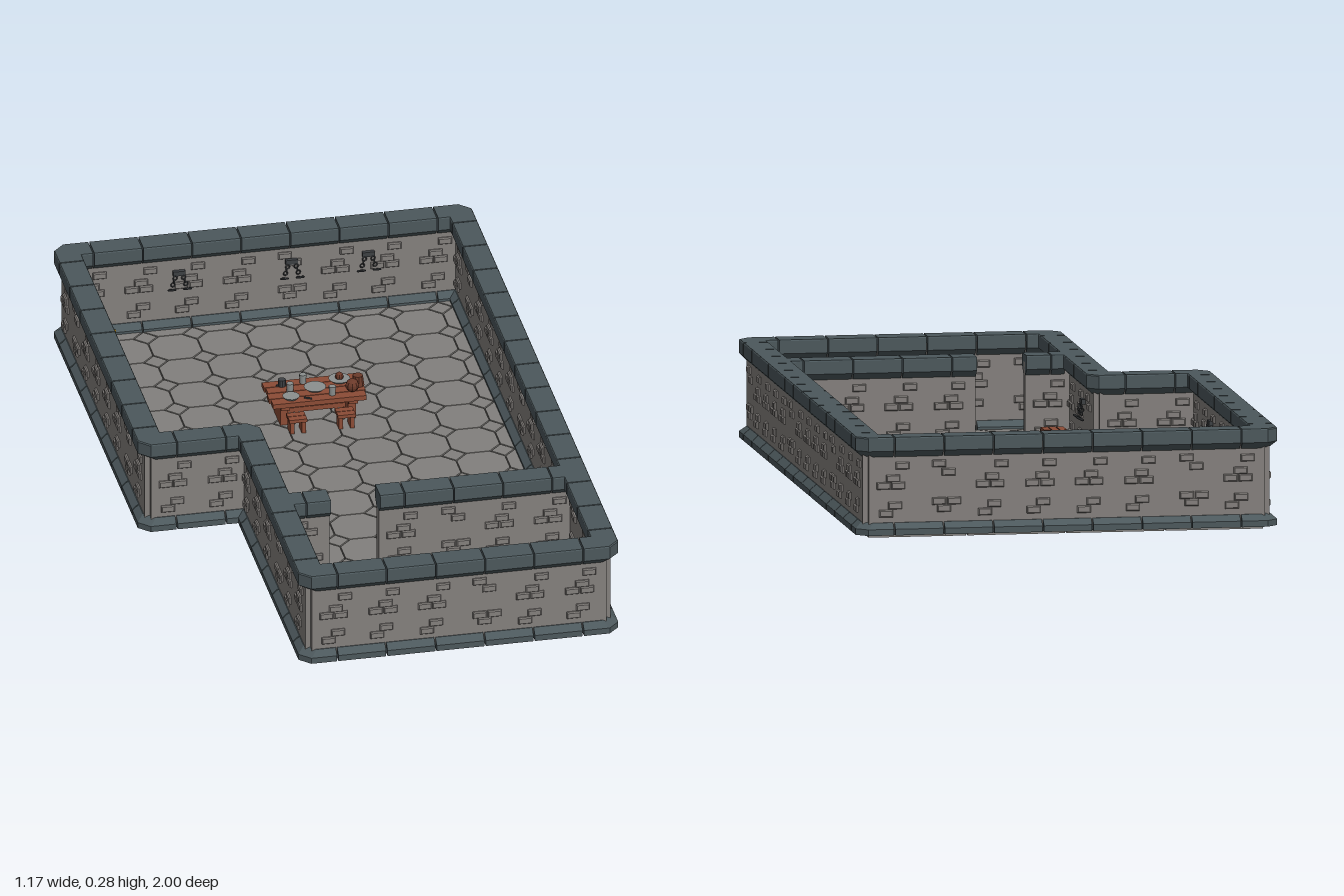
import * as THREE from 'three';
import { mergeGeometries } from 'three/addons/utils/BufferGeometryUtils.js';

const M = 0.1375, HALF = M / 2, X0 = -0.55, Z0 = -0.965, FLOOR = 0.02;
const mat = (name, color, flatShading = true) =>
  Object.assign(new THREE.MeshStandardMaterial({ color, flatShading }), { name });

// Closed solid through level outlines [y, [[x, z], ...]]
function loft(levels) {
  const rings = levels.map(([y, p]) => p.map(([x, z]) => [x, y, z]));
  const flat = levels[0][1].map(([x, z]) => new THREE.Vector2(x, z));
  if (THREE.ShapeUtils.area(flat) < 0) rings.forEach(r => r.reverse()), flat.reverse();
  const pos = [], n = flat.length, last = rings[rings.length - 1];
  const tri = (...v) => v.forEach(p => pos.push(...p));
  for (let k = 0; k + 1 < rings.length; k++) for (let i = 0; i < n; i++) {
    const j = (i + 1) % n, b = rings[k], t = rings[k + 1];
    tri(b[i], t[i], t[j]); tri(b[i], t[j], b[j]);
  }
  THREE.ShapeUtils.triangulateShape(flat, []).forEach(([a, b, c]) => {
    tri(rings[0][a], rings[0][b], rings[0][c]); tri(last[c], last[b], last[a]);
  });
  const g = new THREE.BufferGeometry();
  g.setAttribute('position', new THREE.Float32BufferAttribute(pos, 3));
  g.computeVertexNormals();
  return g;
}
const rect = (x0, x1, h) => [[x0, -h], [x1, -h], [x1, h], [x0, h]];
const plain = g => { const r = g.index ? g.toNonIndexed() : g; r.deleteAttribute('uv'); return r; };
const box = (w, h, d, x, y, z, ry = 0) => plain(new THREE.BoxGeometry(w, h, d).rotateY(ry).translate(x, y, z));
const cyl = (r1, r2, h, x, y, z, n = 10) => plain(new THREE.CylinderGeometry(r1, r2, h, n).translate(x, y, z));
const ball = (r, x, y, z) => plain(new THREE.SphereGeometry(r, 9, 7).translate(x, y, z));
// Round bar between two points
function bar(a, b, r = 0.005, n = 6) {
  const A = new THREE.Vector3(...a), d = new THREE.Vector3(...b).sub(A);
  const q = new THREE.Quaternion().setFromUnitVectors(new THREE.Vector3(0, 1, 0), d.clone().normalize());
  const c = A.addScaledVector(d, 0.5);
  return plain(new THREE.CylinderGeometry(r, r, d.length(), n).applyQuaternion(q).translate(c.x, c.y, c.z));
}
let seed = 7;
const rnd = () => (seed = (seed * 16807) % 2147483647) / 2147483647;

export function createModel() {
  const root = new THREE.Group();
  const stone = mat('wall stone', 0x84807d), trim = mat('slate trim', 0x4c585c), paving = mat('paving', 0x82807d);
  const grout = mat('grout', 0x575552), wood = mat('wood', 0x8c4c36), darkWood = mat('dark wood', 0x6b3a2a);
  const iron = mat('iron', 0x3d4043), pewter = mat('pewter', 0x8b908f, false);
  const gold = mat('gold', 0xc8981c), bone = mat('bone', 0x8a8073);
  const add = (name, parts, m) => {
    const mesh = new THREE.Mesh(mergeGeometries(parts.map(plain)), m);
    mesh.name = name; root.add(mesh);
  };

  // Floor: large slabs below, octagon and diamond paving above
  const slabs = [], bed = [], tiles = [];
  const inside = (i, j) => i >= 2 || j < 8;
  const g = 0.0015, c = 0.036, e = HALF - g;
  const quarter = [[0, 0], [e, 0], [e, HALF - c], [HALF - c, e], [0, e]];
  const d = c - 3 * g, diamond = [[d, 0], [0, d], [-d, 0], [0, -d]];
  for (let i = 0; i < 8; i++) for (let j = 0; j < 14; j++) {
    if (!inside(i, j)) continue;
    const x = X0 + (i + 0.5) * M, z = Z0 + (j + 0.5) * M;
    bed.push(box(M, 0.009, M, x, 0.0105, z));
    tiles.push(loft([[0.012, diamond], [FLOOR, diamond]]).translate(x, 0, z));
    for (const sx of [-1, 1]) for (const sz of [-1, 1]) {
      const p = quarter.map(([a, b]) => [sx * (HALF - a), sz * (HALF - b)]);
      tiles.push(loft([[0.012, p], [FLOOR, p]]).translate(x, 0, z));
    }
    if (i % 2 === 0 && j % 2 === 0)
      slabs.push(box(2 * M - 0.005, 0.008, 2 * M - 0.005, x + HALF, 0.004, z + HALF));
  }
  add('floorSlabs', slabs, paving); add('floorBed', bed, grout); add('floorTiles', tiles, paving);

  // Walls: stone body with raised bricks, slate blocks at foot and top
  const body = [], bricks = [], caps = [], bases = [];
  const bodyHalf = 0.015;
  const capLevels = [[0.225, 0.017], [0.243, 0.035], [0.278, 0.035], [0.281, 0.033]];
  const baseLevels = [[0.01, 0.035], [0.027, 0.035], [0.043, 0.017]];
  const brickSets = [
    [[0.02, 0.2], [0, 0.165], [-0.028, 0.145], [0.014, 0.145], [0.002, 0.092], [-0.024, 0.07]],
    [[0.024, 0.2], [-0.002, 0.165], [-0.028, 0.145], [0.012, 0.145], [0.004, 0.09], [-0.022, 0.068]],
    [[-0.012, 0.204], [0.015, 0.18], [-0.012, 0.1], [0.03, 0.1], [0.002, 0.08]]];
  const trimBlocks = (outline, place) => {
    caps.push(place(loft(capLevels.map(([y, h]) => [y, outline(h)]))));
    bases.push(place(loft(baseLevels.map(([y, h]) => [y, outline(h)]))));
  };
  const brickRing = s => rect(-0.019 * s, 0.019 * s, 0.01 * (s < 1 ? 0.72 : 1));
  const brick = () => loft([[0.012, brickRing(1)], [0.019, brickRing(1)], [0.0225, brickRing(0.86)]]).rotateX(Math.PI / 2);
  // A run of n modules; each end is a corner, a free end or a joint
  function run([x, z], [dx, dz], n, start = 'corner', end = 'corner') {
    const place = q => q.rotateY(Math.atan2(-dz, dx)).translate(x, 0, z);
    body.push(place(box(n * M, 0.24, 2 * bodyHalf, n * HALF, 0.14, 0)));
    for (let k = 0; k <= n; k++) {
      const kind = k === 0 ? start : k === n ? end : 'middle';
      if (kind === 'corner') continue;
      const inset = kind === 'joint' ? 0.03 : 0;
      const a = k === 0 ? inset : k * M - HALF + 0.002, b = k === n ? n * M - inset : k * M + HALF - 0.002;
      trimBlocks(h => rect(a, b, h), place);
    }
    for (let k = 0; k < n; k++) for (const side of [1, -1])
      for (const [u, y] of brickSets[(k * 2 + (side > 0 ? 0 : 1) + n) % 5 === 1 ? 2 : k % 2]) 
        bricks.push(place(brick().rotateY(side > 0 ? 0 : Math.PI).translate((k + 0.5) * M + side * u, y, 0)));
  }
  const corners = [[0, 0], [8, 0], [8, 14], [2, 14], [2, 8], [0, 8]];
  const at = ([i, j]) => [X0 + i * M, Z0 + j * M];
  corners.forEach((p, k) => {
    const q = corners[(k + 1) % 6], o = corners[(k + 5) % 6];
    const n = Math.abs(q[0] - p[0]) + Math.abs(q[1] - p[1]);
    const v = [Math.sign(q[0] - p[0]), Math.sign(q[1] - p[1])];
    const w = [Math.sign(o[0] - p[0]), Math.sign(o[1] - p[1])];
    run(at(p), v, n);
    // L-shaped corner block with a chamfered outer corner
    const u = -v[1] === w[0] && v[0] === w[1] ? v : w;
    const L = HALF - 0.002, ch = 0.03, [x, z] = at(p);
    trimBlocks(h => [[ch - h, -h], [L, -h], [L, h], [h, h], [h, L], [-h, L], [-h, ch - h]],
      geo => geo.rotateY(Math.atan2(-u[1], u[0])).translate(x, 0, z));
  });
  // Dividing wall with a doorway
  run(at([2, 11]), [1, 0], 1, 'joint', 'free');
  run(at([4, 11]), [1, 0], 4, 'free', 'joint');
  add('wallBody', body, stone); add('wallBricks', bricks, stone);
  add('wallCaps', caps, trim); add('wallFoot', bases, trim);

  // Table with planks and block legs, four stools
  const planks = [], legs = [], tx = 0.02, tz = -0.375;
  for (let k = 0; k < 4; k++)
    planks.push(box(0.27 - (k % 2) * 0.008, 0.014, 0.031, tx, 0.092, tz + (k - 1.5) * 0.0335));
  for (const sx of [-1, 1]) {
    legs.push(box(0.025, 0.012, 0.12, tx + sx * 0.095, 0.08, tz), box(0.022, 0.06, 0.085, tx + sx * 0.095, 0.049, tz));
    for (const sz of [-1, 1]) {
      const x = tx + sx * 0.068, z = tz + sz * 0.08;
      for (const o of [-1, 1]) planks.push(box(0.05, 0.01, 0.021, x, 0.06, z + o * 0.0115));
      for (const o of [-1, 1]) legs.push(box(0.011, 0.037, 0.036, x + o * 0.016, 0.0375, z));
    }
  }
  legs.push(box(0.19, 0.014, 0.018, tx, 0.045, tz));
  add('tablePlanks', planks, wood); add('tableLegs', legs, wood);

  // Tableware and food
  const ware = [];
  for (const [x, z, r] of [[0.02, -0.375, 0.031], [0.095, -0.408, 0.03], [-0.055, -0.337, 0.024]])
    ware.push(cyl(r, r * 0.7, 0.008, x, 0.103, z, 14));
  for (const [x, z] of [[-0.05, -0.375], [0.06, -0.335], [-0.005, -0.418]])
    ware.push(cyl(0.01, 0.009, 0.026, x, 0.112, z));
  add('tableware', ware, pewter);
  add('food', [ball(0.019, 0.118, 0.116, -0.345), ball(0.012, 0.095, 0.113, -0.408),
    cyl(0.014, 0.018, 0.03, 0.14, 0.114, -0.375)], darkWood);
  add('cutlery', [bar([-0.08, 0.101, -0.41], [-0.06, 0.101, -0.425], 0.003), bar([-0.02, 0.101, -0.33], [0.0, 0.101, -0.32], 0.003),
    cyl(0.011, 0.011, 0.02, -0.065, 0.109, -0.412)], iron);

  // Crates: slatted box with corner posts
  function crate(name, x, z, s, h) {
    const slats = [], posts = [];
    slats.push(box(s * 0.86, h * 0.94, s * 0.86, x, FLOOR + h / 2, z));
    for (const o of [-1, 0, 1]) slats.push(box(s * 0.29, 0.008, s, x + o * s * 0.33, FLOOR + h, z));
    for (const a of [-1, 1]) {
      for (const b of [-1, 1]) posts.push(box(s * 0.18, h, s * 0.18, x + a * s * 0.4, FLOOR + h / 2, z + b * s * 0.4));
      posts.push(box(s * 0.8, h * 0.16, s * 0.96, x, FLOOR + h * (0.5 + a * 0.3), z));
    }
    add(name + 'Slats', slats, wood); add(name + 'Frame', posts, darkWood);
  }
  crate('crate', -0.207, 0.475, 0.066, 0.06);
  crate('treasureChest', -0.482, -0.898, 0.06, 0.055);

  // Coins heaped beside and on the chest
  const coins = [];
  for (let k = 0; k < 70; k++) {
    const t = rnd(), z = -0.86 + 0.1 * t, x = -0.478 + (rnd() - 0.5) * 0.075;
    const y = FLOOR + 0.003 + rnd() * 0.045 * (1 - t) * (1 - Math.abs(x + 0.478) / 0.045);
    coins.push(plain(new THREE.CylinderGeometry(0.0085, 0.0085, 0.004, 8).rotateX((rnd() - 0.5) * 0.8).translate(x, y, z)));
  }
  for (let k = 0; k < 9; k++)
    coins.push(cyl(0.008, 0.008, 0.004, -0.482 + (rnd() - 0.5) * 0.05, FLOOR + 0.062 + rnd() * 0.008, -0.898 + (rnd() - 0.5) * 0.05, 8));
  coins.push(cyl(0.009, 0.009, 0.02, -0.43, 0.03, -0.92, 8), cyl(0.009, 0.009, 0.012, -0.437, 0.026, -0.89, 8));
  add('coins', coins, gold);

  // Skeleton slumped against the wall
  const bones = [ball(0.019, -0.482, 0.122, 0.0), box(0.02, 0.012, 0.016, -0.473, 0.105, 0.004),
    bar([-0.495, 0.03, 0.025], [-0.487, 0.1, 0.005], 0.006), box(0.03, 0.016, 0.05, -0.488, 0.034, 0.025)];
  for (let k = 0; k < 4; k++)
    bones.push(plain(new THREE.TorusGeometry(0.023 - k * 0.002, 0.003, 5, 12).rotateX(Math.PI / 2)
      .translate(-0.482, 0.091 - k * 0.011, 0.01 + k * 0.002)));
  for (const s of [-1, 1]) {
    const hip = [-0.48, 0.035, 0.027 + s * 0.02], knee = [-0.435, 0.065, 0.04 + s * 0.03], foot = [-0.395, 0.026, 0.06 + s * 0.03];
    const shoulder = [-0.484, 0.095, 0.005 + s * 0.03], elbow = [-0.487, 0.06, 0.015 + s * 0.055], hand = [-0.455, 0.028, 0.02 + s * 0.06];
    bones.push(bar(hip, knee), bar(knee, foot), bar(shoulder, elbow, 0.004), bar(elbow, hand, 0.004),
      ball(0.007, ...knee), ball(0.007, ...hand), box(0.024, 0.01, 0.013, foot[0] + 0.008, 0.025, foot[2]));
  }
  add('skeleton', bones, bone);
  add('fallenSword', [bar([-0.45, 0.026, 0.075], [-0.365, 0.026, 0.06], 0.004), bar([-0.44, 0.027, 0.06], [-0.436, 0.027, 0.088], 0.004)], iron);

  // Shackles on the inner walls
  const shackles = [];
  const hang = (x, z, ry) => {
    const parts = [box(0.034, 0.014, 0.012, 0, 0.185, 0.02)];
    for (const s of [-1, 1]) {
      for (let k = 0; k < 3; k++)
        parts.push(plain(new THREE.TorusGeometry(0.006, 0.002, 4, 8).rotateY(k % 2 ? 1.4 : 0.2).translate(s * (0.012 + k * 0.003), 0.173 - k * 0.01, 0.026)));
      parts.push(plain(new THREE.TorusGeometry(0.01, 0.003, 5, 10).rotateX(1.1).translate(s * 0.022, 0.14, 0.032)));
    }
    parts.forEach(p => shackles.push(p.rotateY(ry).translate(x, 0, z)));
  };
  for (const x of [-0.24, 0.075, 0.29]) hang(x, Z0, 0);
  for (const z of [-0.46, -0.19]) hang(X0, z, Math.PI / 2);
  hang(X0 + 2 * M, 0.28, Math.PI / 2);
  add('shackles', shackles, iron);

  // Blades leaning in the front room
  add('leaningBlades', [bar([-0.222, FLOOR, 0.79], [-0.25, 0.14, 0.82], 0.004),
    bar([-0.222, FLOOR, 0.87], [-0.25, 0.14, 0.83], 0.004), box(0.01, 0.03, 0.03, -0.243, 0.125, 0.825)], iron);
  return root;
}
